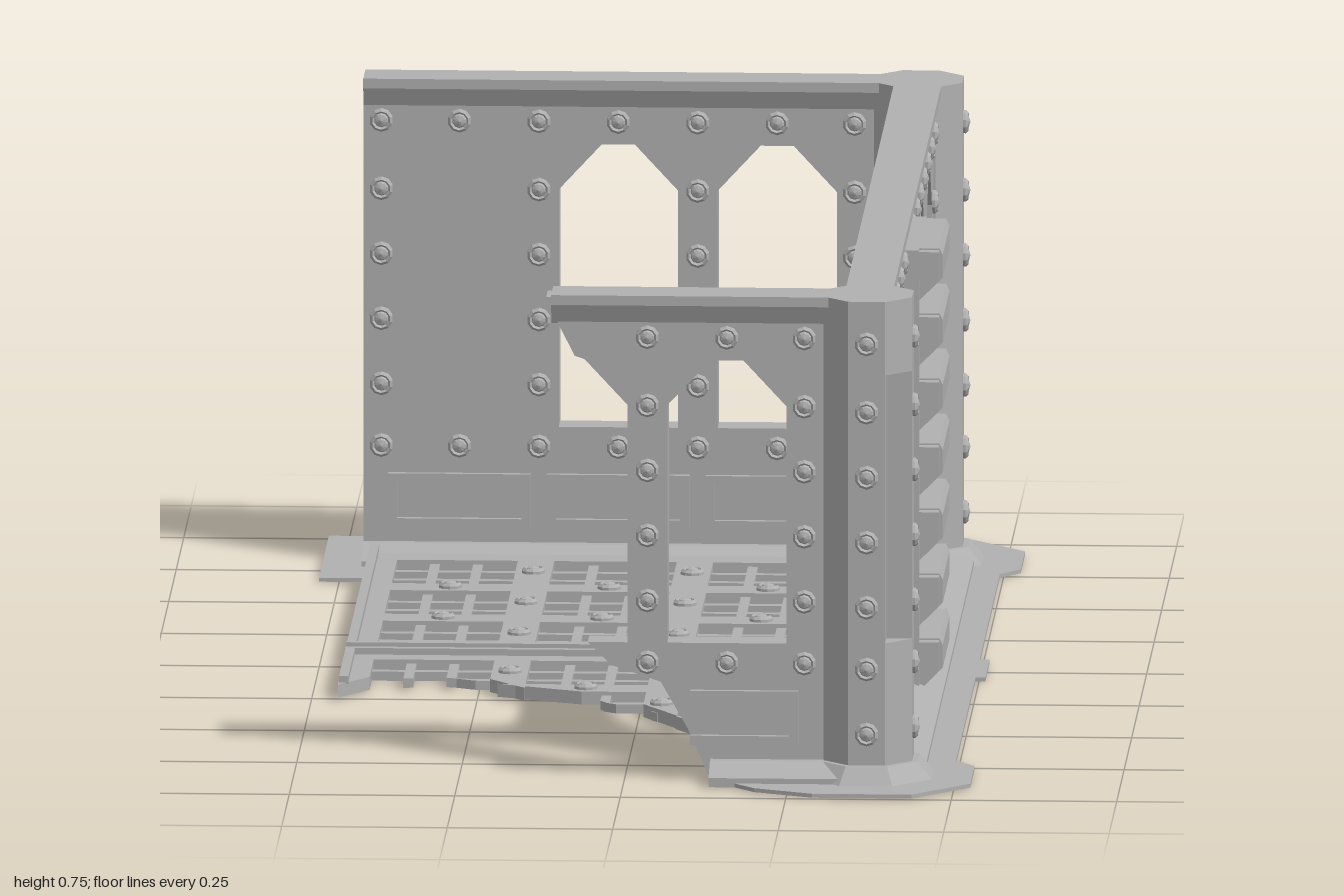
import * as THREE from 'three';

const stone = new THREE.MeshStandardMaterial({ color: 0xb0b0b0, flatShading: true });
stone.name = 'stone grey';

const HALF = 0.025;                       // half the wall thickness
const RIVET_Y = [0.68, 0.575, 0.475, 0.375, 0.275, 0.18];

function add(parent, geometry, name, x = 0, y = 0, z = 0) {
  const mesh = new THREE.Mesh(geometry, stone);
  mesh.name = name;
  mesh.position.set(x, y, z);
  parent.add(mesh);
  return mesh;
}
const box = (w, h, d) => new THREE.BoxGeometry(w, h, d);
const toShape = pts => new THREE.Shape(pts.map(p => new THREE.Vector2(p[0], p[1])));
const extrude = (shape, depth) => new THREE.ExtrudeGeometry(shape, { depth, bevelEnabled: false });

// Horizontal slab from x,z points, between two heights
const slab = (pts, y0, y1) =>
  extrude(toShape(pts.map(([x, z]) => [x, -z])), y1 - y0).rotateX(-Math.PI / 2).translate(0, y0, 0);

// Moulding: a z,y profile swept along x
const moulding = (profile, x0, x1) =>
  extrude(toShape(profile.map(([z, y]) => [-z, y])), x1 - x0).rotateY(Math.PI / 2).translate(x0, 0, 0);

// Washer with a domed rivet head, facing +y
const rivetGeo = new THREE.LatheGeometry(
  [[0.018, 0], [0.018, 0.004], [0.014, 0.008], [0.011, 0.004], [0.009, 0.008], [0, 0.011]]
    .map(p => new THREE.Vector2(...p)), 10);
const wallRivetGeo = rivetGeo.clone().rotateX(Math.PI / 2);

function wallRivet(parent, x, y, z, side) {
  const r = add(parent, wallRivetGeo, 'rivet', x, y, z * side);
  if (side < 0) r.rotation.y = Math.PI;
}

function windowPath(c) {
  return new THREE.Path([[-0.09, 0.21], [0.09, 0.21], [0.09, 0.575], [0.025, 0.645], [-0.025, 0.645], [-0.09, 0.575]]
    .map(([x, y]) => new THREE.Vector2(c + x, y)));
}

// Raised rectangular frame on one face of a wall; a broken one has no left stile
function panel(parent, c, side, left = c - 0.108, broken = false) {
  const z = side * (HALF + 0.003), right = c + 0.108, mid = (left + right) / 2;
  for (const y of [0.062, 0.131]) add(parent, box(right - left, 0.014, 0.012), 'panel rail', mid, y, z);
  add(parent, box(0.014, 0.083, 0.012), 'panel stile', right - 0.007, 0.0965, z);
  if (!broken) add(parent, box(0.014, 0.083, 0.012), 'panel stile', left + 0.007, 0.0965, z);
}

// Slatted shutter on the outer face
function shutter(parent, c) {
  const g = new THREE.Group();
  g.name = 'shutter';
  for (let i = 0; i < 7; i++) {
    const y = 0.698 - i * 0.1;
    add(g, moulding([[0.02, y - 0.1], [0.03, y - 0.1], [0.085, y - 0.045], [0.085, y - 0.01], [0.08, y], [0.02, y]],
      c - 0.115, c + 0.115), 'slat');
    for (const s of [-1, 1]) {
      add(g, box(0.022, 0.1, 0.03), 'shutter side', c + s * 0.122, y - 0.05, 0.035);
      add(g, box(0.022, 0.045, 0.06), 'shutter bracket', c + s * 0.122, y - 0.025, 0.05);
    }
  }
  parent.add(g);
}

// Wall with foot and cornice mouldings, outer face towards local +z
function wall(name, outline, o) {
  const g = new THREE.Group();
  g.name = name;
  const shape = toShape(outline);
  o.windows.forEach(c => shape.holes.push(windowPath(c)));
  add(g, extrude(shape, HALF * 2).translate(0, 0, -HALF), 'wall panel');
  add(g, moulding([[-0.095, 0], [0.085, 0], [0.085, 0.014], [0.04, 0.032], [-0.04, 0.032], [-0.095, 0.014]],
    o.foot[0], o.foot[1]), 'foot moulding');
  add(g, moulding([[-0.024, 0.7], [0.024, 0.7], [0.036, 0.73], [0.036, 0.745], [-0.036, 0.745], [-0.036, 0.73]],
    o.top[0], o.top[1]), 'cornice');
  for (const side of [-1, 1]) {
    const covered = x => side > 0 && o.shutter !== undefined && Math.abs(x - o.shutter) < 0.14;
    for (const x of o.columns) if (!covered(x)) RIVET_Y.forEach(y => wallRivet(g, x, y, HALF, side));
    for (const x of o.bays) if (!covered(x)) {
      for (const y of [0.68, 0.18]) wallRivet(g, x, y, HALF, side);
      if (o.brokenPanel === undefined) panel(g, x, side);
      else panel(g, x, side, o.brokenPanel, true);
    }
  }
  if (o.shutter !== undefined) shutter(g, o.shutter);
  return g;
}

// Octagonal corner post with a notch cut along its outer corner
function cornerPost(s) {
  const g = new THREE.Group();
  g.name = s > 0 ? 'frontPost' : 'backPost';
  const a = 0.067, b = 0.028;
  const ring = [[a, -b], [a, b], [b, a], [-b, a], [-a, b], [-a, -b], [-b, -a], [b, -a]].map(([x, z]) => [x, z * s]);
  const notched = [...ring.slice(0, 2), [b, b * s], ...ring.slice(2)];
  add(g, slab(ring, 0, 0.22), 'post foot');
  add(g, slab(notched, 0.22, 0.632), 'notched post shaft');
  add(g, slab(ring, 0.632, 0.745), 'post head');
  add(g, new THREE.CylinderGeometry(0.082, 0.11, 0.032, 8).rotateY(Math.PI / 8), 'post base', 0, 0.016, 0);
  for (const y of [...RIVET_Y, 0.08]) {
    wallRivet(g, 0, y, a, s);
    add(g, wallRivetGeo, 'rivet', a, y, 0).rotation.y = Math.PI / 2;
  }
  g.position.set(0.368, 0, 0.84 * s);
  return g;
}

// Broken edge of the floor: the floor lies behind this line
const BREAK = [[-0.47, 0.275], [-0.42, 0.2], [-0.37, 0.18], [-0.29, 0.17], [-0.235, 0.2], [-0.21, 0.265], [-0.09, 0.29],
  [-0.05, 0.355], [0, 0.38], [0.045, 0.45], [0.11, 0.56], [0.125, 0.66], [0.13, 0.8]];
function breakZ(x) {
  for (let i = 1; i < BREAK.length; i++) {
    const [x0, z0] = BREAK[i - 1], [x1, z1] = BREAK[i];
    if (x <= x1) return z0 + (z1 - z0) * (x - x0) / (x1 - x0);
  }
  return 0.8;
}
function breakX(z) {
  let x = 0.29;
  while (x > -0.46 && breakZ(x) >= z - 1e-6) x -= 0.005;
  return Math.max(x, -0.46);
}

function gratedFloor() {
  const g = new THREE.Group();
  g.name = 'gratedFloor';
  const barZ = (x, w, top) => {
    const a = x - w / 2, b = x + w / 2;
    add(g, slab([[a, -0.8], [b, -0.8], [b, breakZ(b)], [a, breakZ(a)]], 0.002, top), 'floor bar');
  };
  const barX = (z, w, top) => {
    const a = z - w / 2, b = z + w / 2;
    add(g, slab([[breakX(a), a], [0.29, a], [0.29, b], [breakX(b), b]], 0.002, top), 'floor bar');
  };
  const px = [-0.325, -0.085, 0.155], pz = [-0.63, -0.39, -0.15, 0.15, 0.39, 0.63];
  const bx = [-0.205, 0.035], bz = [-0.51, -0.27, 0.27, 0.51];
  for (const d of [-0.0325, 0.0325]) {
    px.forEach(x => barZ(x + d, 0.015, 0.016));
    pz.forEach(z => barX(z + d, 0.015, 0.016));
  }
  bx.forEach(x => barZ(x, 0.055, 0.022));
  bz.forEach(z => barX(z, 0.055, 0.022));
  barZ(-0.4375, 0.045, 0.022);
  barZ(0.2675, 0.045, 0.022);
  barX(0, 0.12, 0.022);
  for (const z of [-0.76, 0.76]) barX(z, 0.08, 0.022);
  // Raised lips along the open side and the middle seam
  for (const z of [-0.027, 0.017]) add(g, box(0.78, 0.012, 0.012), 'seam lip', -0.07, 0.026, z);
  add(g, box(0.014, 0.012, 0.77), 'side lip', -0.452, 0.026, -0.415);
  add(g, box(0.014, 0.012, 0.23), 'side lip', -0.452, 0.026, 0.13);
  const stud = (x, z) => { if (z < breakZ(x) - 0.015) add(g, rivetGeo, 'floor rivet', x, 0.022, z); };
  bx.forEach(x => pz.forEach(z => stud(x, z)));
  px.forEach(x => bz.forEach(z => stud(x, z)));
  return g;
}

export function createModel() {
  const model = new THREE.Group();
  model.name = 'ruinedBuildingCorner';

  // Thin ground plate following the walls
  add(model, slab([[-0.53, -0.985], [-0.39, -0.985], [-0.38, -0.975], [-0.3, -0.975], [-0.29, -0.985], [-0.15, -0.985],
    [-0.14, -0.975], [0.24, -0.975], [0.3, -1], [0.44, -1], [0.525, -0.91], [0.525, -0.77], [0.495, -0.73],
    [0.495, -0.06], [0.51, -0.06], [0.51, 0.08], [0.495, 0.08], [0.495, 0.73], [0.525, 0.77], [0.525, 0.91],
    [0.44, 1], [0.29, 1], [0.2, 0.96], [0.13, 0.88], [0.13, 0.75], [0.27, 0.75], [0.27, -0.75], [-0.46, -0.75],
    [-0.46, -0.655], [-0.53, -0.655]], 0, 0.006), 'groundPlate');

  model.add(gratedFloor());
  for (const s of [-1, 1]) model.add(cornerPost(s));

  const side = wall('sideWall', [[-0.84, 0], [0.84, 0], [0.84, 0.74], [-0.84, 0.74]], {
    windows: [-0.63, -0.39, 0.15, 0.39, 0.63], bays: [-0.63, -0.39, -0.13, 0.15, 0.39, 0.63],
    columns: [-0.745, -0.51, -0.27, 0.027, 0.27, 0.51, 0.745],
    foot: [-0.84, 0.84], top: [-0.84, 0.84], shutter: -0.13 });
  side.rotation.y = Math.PI / 2;
  side.position.x = 0.368;

  const back = wall('backWall', [[-0.37, 0], [0.47, 0], [0.47, 0.74], [-0.37, 0.74]], {
    windows: [-0.155, 0.085], bays: [-0.155, 0.085, 0.325], columns: [-0.272, -0.035, 0.205, 0.443],
    foot: [-0.37, 0.47], top: [-0.37, 0.47], shutter: 0.335 });
  back.rotation.y = Math.PI;
  back.position.z = -0.84;

  // Front wall, broken off through its second window
  const front = wall('brokenFrontWall', [[0.13, 0], [0.37, 0], [0.37, 0.74], [-0.118, 0.74], [-0.1, 0.7], [-0.075, 0.65],
    [-0.06, 0.645], [0.005, 0.575], [0.005, 0.21], [-0.055, 0.21], [-0.02, 0.175], [0.055, 0.15], [0.095, 0.08]], {
    windows: [0.155], bays: [0.155], columns: [0.035, 0.272],
    foot: [0.13, 0.37], top: [-0.11, 0.37], brokenPanel: 0.1 });
  front.position.z = 0.84;

  model.add(side, back, front);
  return model;
}
